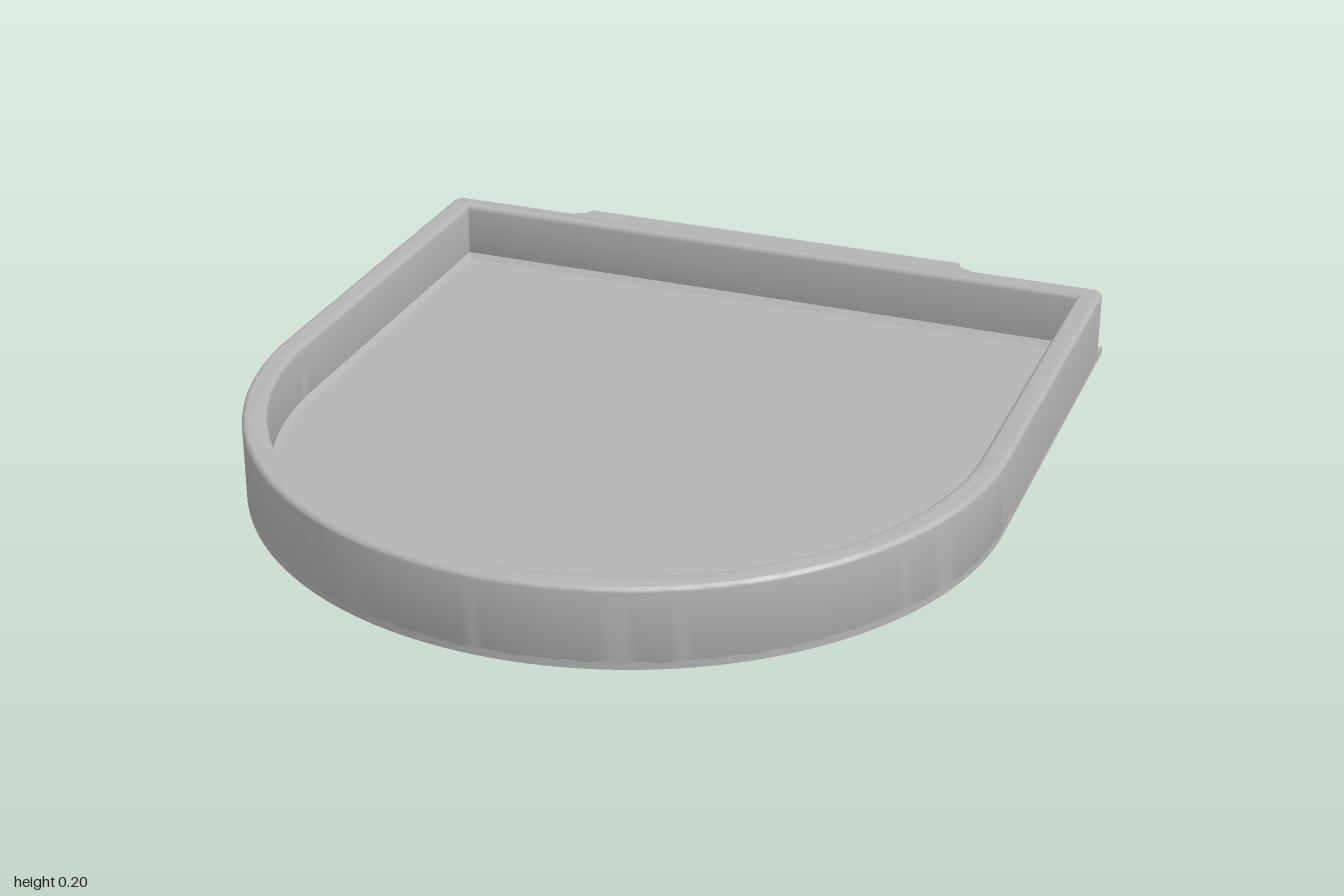
import * as THREE from 'three';
import { toCreasedNormals } from 'three/addons/utils/BufferGeometryUtils.js';

const CENTRE = 0.07; // z of the centre of the rounded front
const HALF = 0.93; // outer half width
const INNER = 0.87; // inner half width
const BACK = -0.965; // back face of the wall
const HEIGHT = 0.2;
const BASE = 0.02; // thickness of the base plate
const FLOOR = 0.045;

// D outline: straight back, round front (shape y is -z); corner rounds the back corners
function outline(Target, half, back, corner = 0) {
  const p = new Target();
  p.moveTo(half, -CENTRE);
  if (corner) {
    p.lineTo(half, -back - corner);
    p.absarc(half - corner, -back - corner, corner, 0, Math.PI / 2, false);
    p.absarc(corner - half, -back - corner, corner, Math.PI / 2, Math.PI, false);
  } else {
    p.lineTo(half, -back);
    p.lineTo(-half, -back);
  }
  p.lineTo(-half, -CENTRE);
  p.absarc(0, -CENTRE, half, Math.PI, Math.PI * 2, false);
  return p;
}

// Upright extrusion from y0 to y1, with edges eased inward by bevel
function upright(shape, y0, y1, bevel = 0, bevelSegments = 4) {
  const geometry = new THREE.ExtrudeGeometry(shape, {
    depth: y1 - y0 - 2 * bevel, curveSegments: 48, bevelEnabled: bevel > 0,
    bevelSize: bevel, bevelThickness: bevel, bevelOffset: -bevel, bevelSegments,
  });
  geometry.rotateX(-Math.PI / 2).translate(0, y0 + bevel, 0);
  return toCreasedNormals(geometry, 0.6);
}

export function createModel() {
  const group = new THREE.Group();
  const grey = new THREE.MeshStandardMaterial({ color: 0xb4b4b4 });
  grey.name = 'grey';
  const add = (name, geometry) => {
    const mesh = new THREE.Mesh(geometry, grey);
    mesh.name = name;
    group.add(mesh);
  };

  // Base plate, reaching behind the wall as a lip
  add('basePlate', upright(outline(THREE.Shape, HALF, -1), 0, BASE));

  // Wall with a softened rim
  const wall = outline(THREE.Shape, HALF, BACK, 0.03);
  wall.holes.push(outline(THREE.Path, INNER, -0.905));
  add('wall', upright(wall, 0.004, HEIGHT, 0.012));

  // Tray floor, and the cove where it meets the wall
  add('floor', upright(outline(THREE.Shape, INNER + 0.01, -0.915), 0.01, FLOOR));
  const ease = 0.014;
  const cove = outline(THREE.Shape, INNER + 0.03, -0.935);
  cove.holes.push(outline(THREE.Path, INNER - ease, -0.905 + ease));
  add('floorCove', upright(cove, 0.012, FLOOR + ease, ease, 1));

  // Raised back block with four blind round holes; the wall closes their ends
  const blockHalf = 0.53;
  const block = new THREE.Shape([
    new THREE.Vector2(-blockHalf + 0.035, 0.01), new THREE.Vector2(blockHalf - 0.035, 0.01),
    new THREE.Vector2(blockHalf - 0.035, HEIGHT), new THREE.Vector2(-blockHalf + 0.035, HEIGHT),
  ]);
  for (const [x, r] of [[0.45, 0.037], [0.28, 0.05]]) {
    for (const side of [-1, 1]) {
      const hole = new THREE.Path();
      hole.absarc(side * x, 0.1, r, 0, Math.PI * 2, true);
      block.holes.push(hole);
    }
  }
  const blockGeometry = new THREE.ExtrudeGeometry(block, { depth: 0.05, bevelEnabled: false, curveSegments: 24 });
  add('backBlock', toCreasedNormals(blockGeometry.translate(0, 0, -1), 0.6));

  // Block ends, curving into the wall
  const r = 0.035;
  for (const side of [-1, 1]) {
    const end = new THREE.Shape();
    const x = side * (blockHalf - r);
    end.moveTo(x, 0.95);
    end.lineTo(x, 1);
    end.lineTo(side * blockHalf, 1);
    const from = side > 0 ? Math.PI : 0;
    end.absarc(side * (blockHalf + r), 1, r, from, from + side * Math.PI / 2, side < 0);
    end.lineTo(side * (blockHalf + r), 0.95);
    add(side > 0 ? 'leftBlockEnd' : 'rightBlockEnd', upright(end, 0.01, HEIGHT));
  }
  return group;
}
